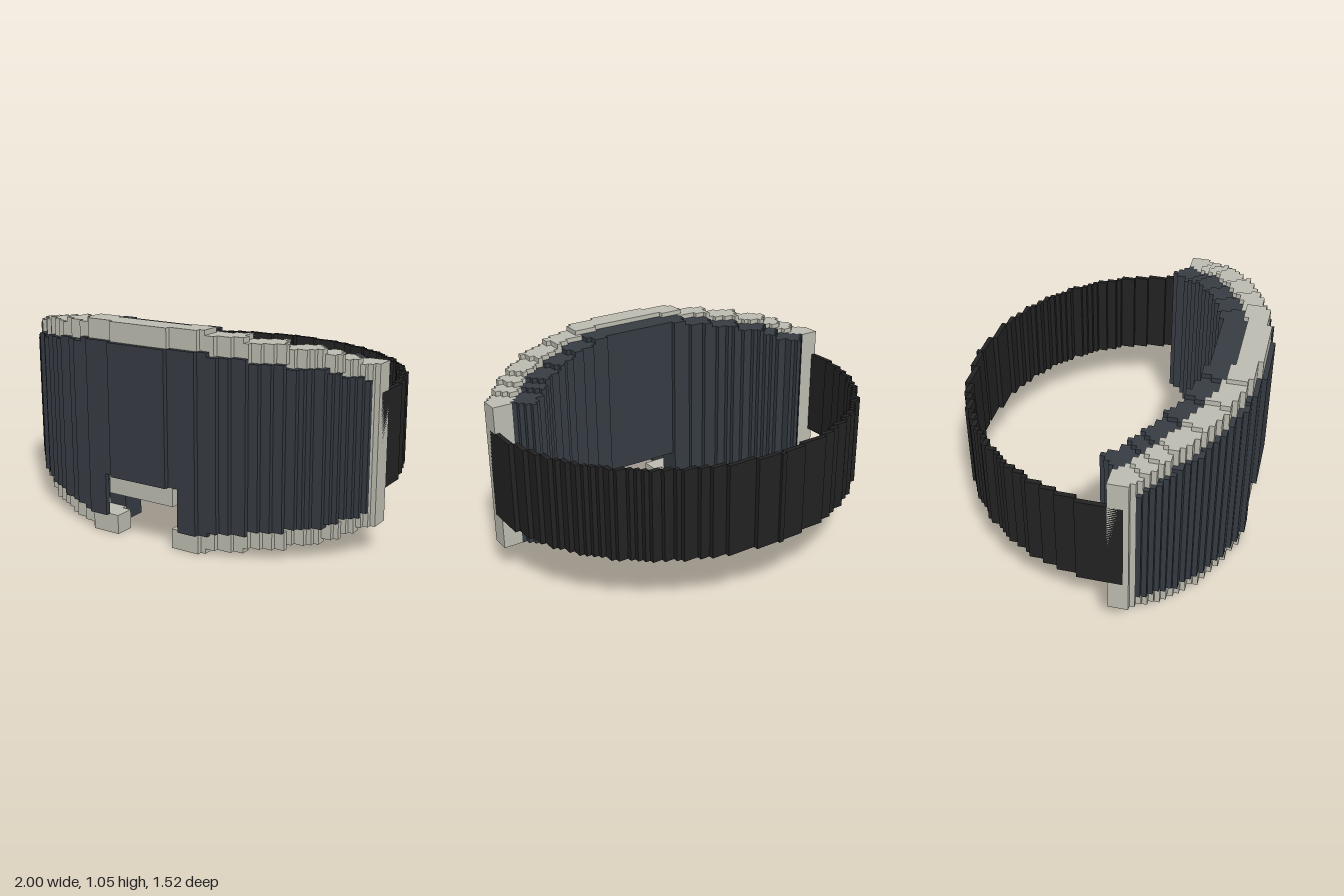
import * as THREE from 'three';
import { mergeGeometries } from 'three/addons/utils/BufferGeometryUtils.js';

const U = 2 / 81;          // width of one stepped column
const ZC = -0.58;          // centre of the curved front
const BANDS = [            // [end angle in degrees, how far the edge steps in]
  [15.3, 0], [23, 0.024], [31, 0.049], [38.5, 0.073], [42, 0.097], [45.3, 0.121], [90, 0.145],
];
const material = (name, color) => {
  const m = new THREE.MeshStandardMaterial({ color });
  m.name = name;
  return m;
};
const snap = (z) => 0.76 - U * Math.round((0.76 - z) / U + 0.08);
const tan = (deg) => Math.tan(THREE.MathUtils.degToRad(deg));

function box(x0, x1, y0, y1, z0, z1) {
  const g = new THREE.BoxGeometry(x1 - x0, y1 - y0, z1 - z0);
  return g.translate((x0 + x1) / 2, (y0 + y1) / 2, (z0 + z1) / 2);
}

// Walks the columns across the width and joins equal neighbours into one box.
// column(absX) returns [y0, y1, z0, z1] or null.
function columns(column) {
  const runs = [];
  let last = null;
  for (let i = -40; i <= 40; i++) {
    const c = column(Math.abs(i) * U);
    if (!c) { last = null; continue; }
    const key = c.map((v) => v.toFixed(4)).join();
    if (last && last.key === key) last.x1 = (i + 0.5) * U;
    else runs.push(last = { key, c, x0: (i - 0.5) * U, x1: (i + 0.5) * U });
  }
  return runs.map((r) => box(r.x0, r.x1, ...r.c));
}

// Curved stepped layer between two radii; heights(inset, absX, band) gives [y0, y1] or null.
function layer(rIn, rOut, endAngle, zMin, heights) {
  const out = [];
  BANDS.forEach(([end, inset], band) => {
    const start = band ? BANDS[band - 1][0] : 0;
    out.push(...columns((x) => {
      const arc = (r) => (r > x ? Math.sqrt(r * r - x * x) + ZC : -1);
      const near = start && x ? x / tan(start) + ZC : start ? -1 : 9;
      const far = x / tan(Math.min(end, endAngle)) + ZC;
      const z0 = snap(Math.max(arc(rIn), far, zMin));
      const z1 = snap(Math.min(arc(rOut), near));
      const y = heights(inset, x, band);
      return y && z1 - z0 > U / 2 ? [...y, z0, z1] : null;
    }));
  });
  return out;
}

export function createModel() {
  const slate = material('slate', 0x363c43);
  const beige = material('beige', 0xbdbcb1);
  const black = material('black', 0x222222);
  const group = new THREE.Group();
  const add = (name, parts, mat) => {
    const mesh = new THREE.Mesh(mergeGeometries(parts), mat);
    mesh.name = name;
    group.add(mesh);
  };
  const lensEdge = (inset) => 0.095 + inset * 0.85;

  // Lens: thin outer shell, cut away over the nose
  add('lens', layer(1.315, 1.34, 48, 0.3, (n, x) =>
    [x < 0.22 ? 0.305 : lensEdge(n), 1.05 - lensEdge(n)]), slate);

  // Frame: upper and lower rims, full height at the ends, with a nose gap
  const frame = (heights) => layer(1.2, 1.315, 51.5, 0.2, heights);
  add('frame', [
    ...frame((n, x, b) => [b > 5 ? n : 1.05 - lensEdge(n), 1.05 - n]),
    ...frame((n, x, b) => (x < 0.16 || b > 5 ? null : [n, lensEdge(n)])),
    box(-0.185, 0.185, 0.215, 0.305, 0.62, 0.735),
  ], beige);

  // Padding: thick wall behind the frame
  add('padding', layer(1.08, 1.2, 49.2, 0.13, (n, x) => {
    const inset = Math.min(n + 0.024, 0.145);
    return [x < 0.2 ? 0.235 : inset, 1.05 - inset];
  }), slate);

  // Strap: half-oval band around the back
  const oval = (x) => 0.2 - 0.94 * Math.sqrt(Math.max(0, 1 - (x / 0.99) ** 2));
  add('strap', columns((x) => {
    const z0 = x ? snap(oval(x - U / 2)) : -0.76;
    const z1 = x > 0.98 ? 0.265 : Math.max(snap(oval(x + U / 2)), z0 + U);
    return [0.305, 0.77, z0, z1];
  }), black);

  return group;
}
